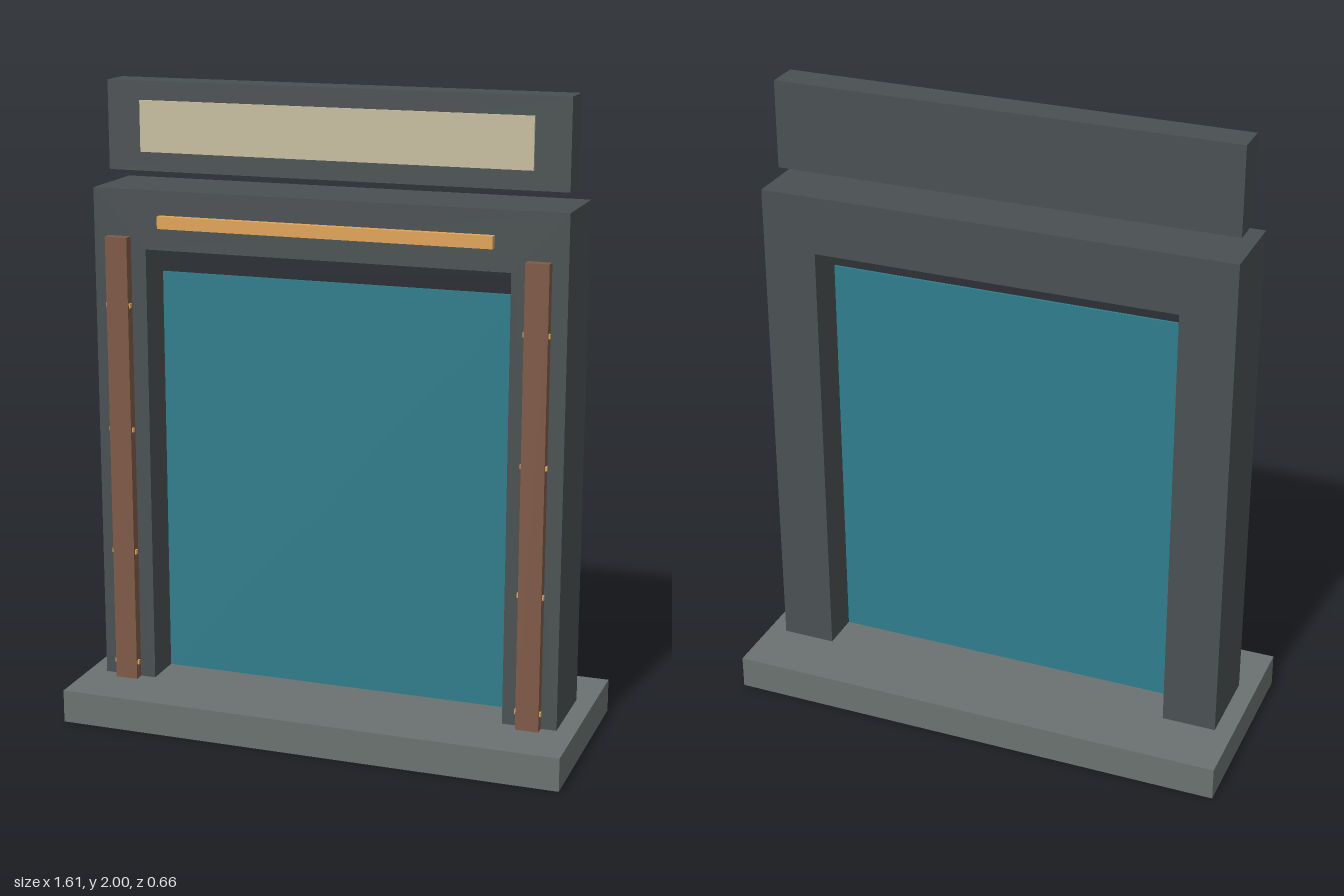
import * as THREE from 'three';

const mat = (color) => new THREE.MeshStandardMaterial({ color });

export function createModel() {
  const model = new THREE.Group();
  const stone = mat(0x6b7270), dark = mat(0x4a5052), teal = mat(0x2f7d8c);
  const wood = mat(0x7f5a47), amber = mat(0xe0a458), cream = mat(0xc6bd9f);

  // Box given by its minimum and maximum corners
  const block = (name, material, [x0, y0, z0], [x1, y1, z1]) => {
    const mesh = new THREE.Mesh(new THREE.BoxGeometry(x1 - x0, y1 - y0, z1 - z0), material);
    mesh.position.set((x0 + x1) / 2, (y0 + y1) / 2, (z0 + z1) / 2);
    mesh.name = name;
    model.add(mesh);
    return mesh;
  };

  block('base', stone, [-0.803, 0, -0.33], [0.803, 0.105, 0.33]);

  // Gate frame: one arch-shaped outline, open at the bottom
  const arch = new THREE.Shape([
    [-0.745, 0.1], [-0.575, 0.1], [-0.575, 1.497], [0.575, 1.497],
    [0.575, 0.1], [0.745, 0.1], [0.745, 1.68], [-0.745, 1.68],
  ].map(([x, y]) => new THREE.Vector2(x, y)));
  const frameGeometry = new THREE.ExtrudeGeometry(arch, { depth: 0.262, bevelEnabled: false });
  frameGeometry.translate(0, 0, -0.131);
  const frame = new THREE.Mesh(frameGeometry, dark);
  frame.name = 'gateFrame';
  model.add(frame);

  // Thin door panel in the middle of the opening, with a gap above
  block('doorPanel', teal, [-0.575, 0.1, -0.004], [0.575, 1.407, 0.004]);

  // Front pilasters with slim bands showing at their sides
  for (const [side, s] of [['left', 1], ['right', -1]]) {
    const cx = s * 0.66;
    block(side + 'Pilaster', wood, [cx - 0.036, 0.1, 0.13], [cx + 0.036, 1.535, 0.163]);
    for (const y of [0.16, 0.53, 0.928, 1.323]) {
      block(side + 'PilasterBand', amber, [cx - 0.041, y - 0.007, 0.145], [cx + 0.041, y + 0.007, 0.157]);
    }
  }

  // Light strip on the lintel
  block('lightStrip', amber, [-0.525, 1.567, 0.133], [0.525, 1.605, 0.156]);

  // Sign board floating above the frame, with its inset face
  block('signBoard', dark, [-0.725, 1.726, -0.053], [0.725, 2, 0.053]);
  block('signFace', cream, [-0.617, 1.785, 0.05], [0.617, 1.942, 0.061]);

  return model;
}
